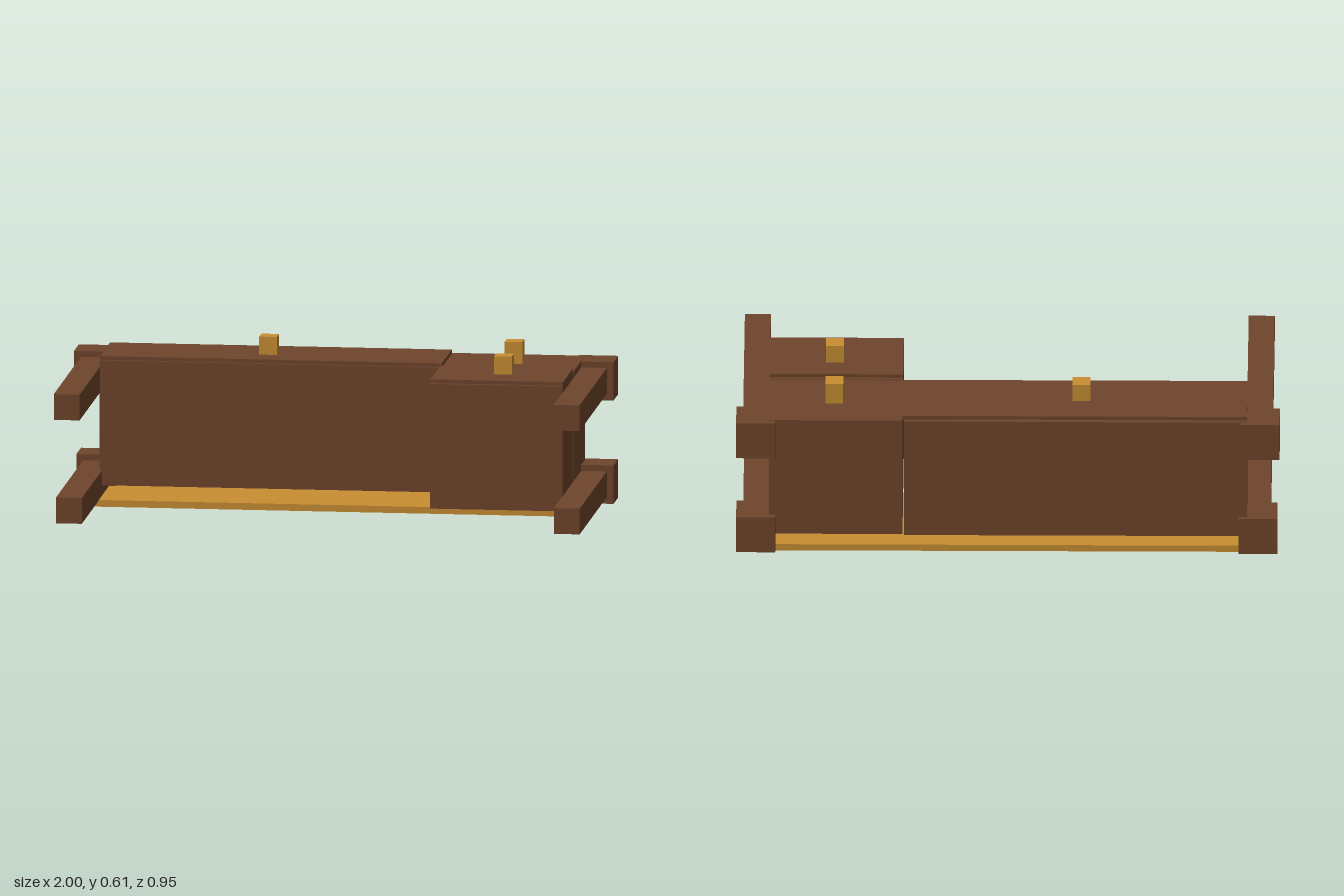
import * as THREE from 'three';

export function createModel() {
  const model = new THREE.Group();
  model.name = 'tippedDesk';

  const wood = new THREE.MeshStandardMaterial({ color: 0x6f452c });
  wood.name = 'brown wood';
  const gold = new THREE.MeshStandardMaterial({ color: 0xc98f33 });
  gold.name = 'golden wood';

  // Box given by its extents along each axis
  function box(name, material, [x0, x1], [y0, y1], [z0, z1]) {
    const mesh = new THREE.Mesh(new THREE.BoxGeometry(x1 - x0, y1 - y0, z1 - z0), material);
    mesh.position.set((x0 + x1) / 2, (y0 + y1) / 2, (z0 + z1) / 2);
    mesh.name = name;
    model.add(mesh);
  }

  // Desk top, standing on its edge underneath
  box('deskTop', gold, [-0.89, 0.89], [0.002, 0.027], [-0.462, -0.03]);

  // Wide drawer with its raised front
  box('wideDrawer', wood, [-0.88, 0.383], [0.065, 0.531], [-0.459, -0.13]);
  box('wideDrawerFront', wood, [-0.88, 0.388], [0.531, 0.545], [-0.44, -0.142]);

  // Two stacked side drawers
  box('upperSideDrawer', wood, [0.388, 0.88], [0.065, 0.531], [-0.451, -0.118]);
  box('lowerSideDrawer', wood, [0.388, 0.88], [0.065, 0.531], [-0.113, 0.22]);
  box('lowerSideDrawerFront', wood, [0.388, 0.88], [0.531, 0.545], [-0.097, 0.205]);

  // Square knobs
  for (const [x, z] of [[-0.27, -0.28], [0.64, -0.28], [0.64, 0.033]]) {
    box('knob', gold, [x - 0.033, x + 0.033], [0.531, 0.612], [z - 0.033, z + 0.033]);
  }

  // Legs with a thicker block at the root
  for (const [side, y, shift] of [[-1, 0.39, 0], [1, 0.39, 0], [-1, 0.004, 0.008], [1, 0.004, 0]]) {
    const legX = side * 0.927 + shift;
    const blockX = side * 0.928 + shift;
    box('leg', wood, [legX - 0.048, legX + 0.048], [y + 0.021, y + 0.117], [-0.34, 0.475]);
    box('legBlock', wood, [blockX - 0.072, blockX + 0.072], [y - 0.004, y + 0.139], [-0.475, -0.335]);
  }

  return model;
}
